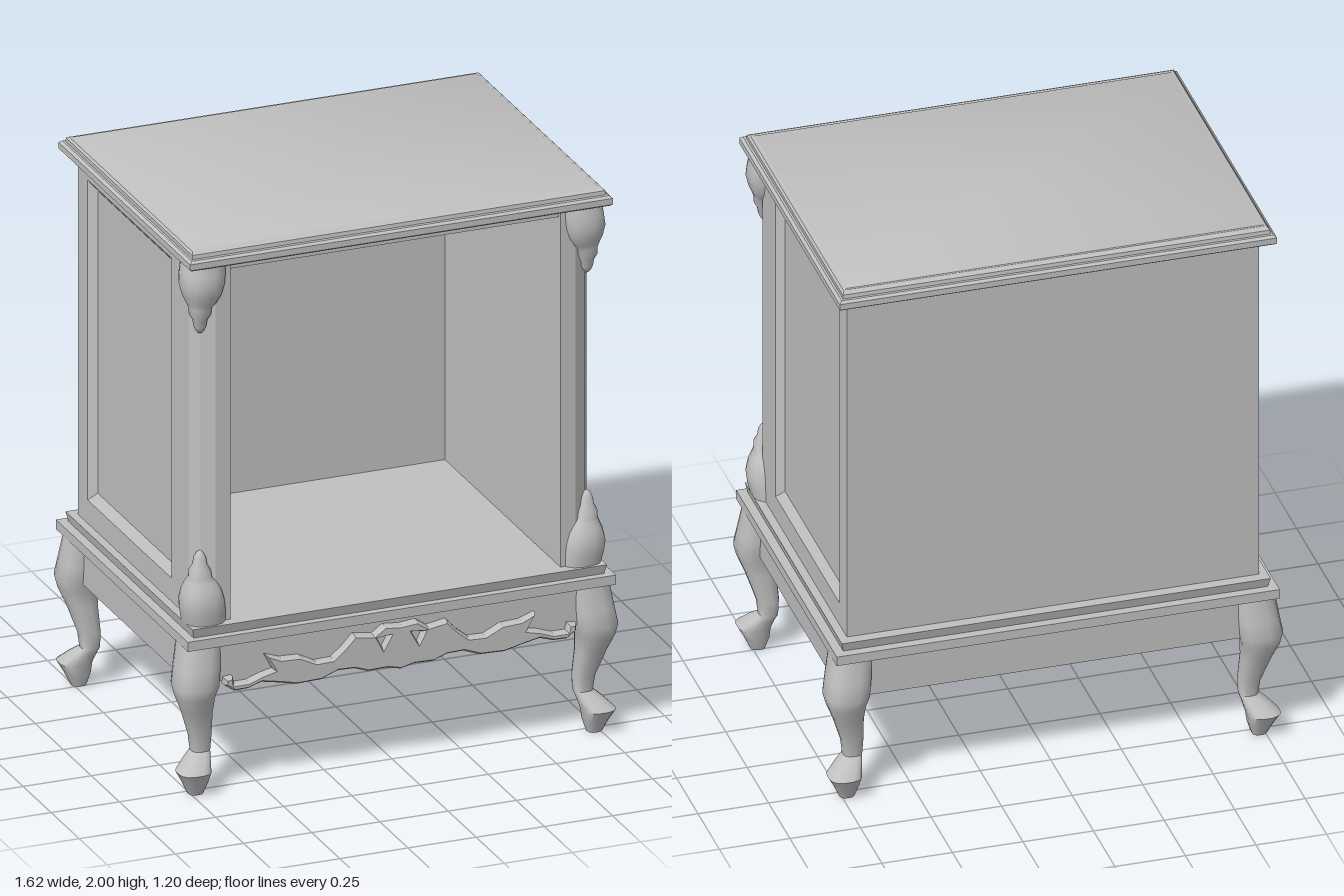
import * as THREE from 'three';
import { toCreasedNormals } from 'three/addons/utils/BufferGeometryUtils.js';

const V = (x, y, z) => new THREE.Vector3(x, y, z);

// Closed solid through rings of equal point count, capped at both ends and wound outward.
function loft(rings, crease = 0.6) {
  const n = rings[0].length, pts = rings.flat(), index = [];
  for (let r = 0; r < rings.length - 1; r++) {
    for (let i = 0; i < n; i++) {
      const a = r * n + i, b = r * n + (i + 1) % n;
      index.push(a, b, b + n, a, b + n, a + n);
    }
  }
  [0, rings.length - 1].forEach((r, end) => {
    const c = pts.length;
    pts.push(rings[r].reduce((s, p) => s.add(p), V(0, 0, 0)).divideScalar(n));
    for (let i = 0; i < n; i++) {
      const a = r * n + i, b = r * n + (i + 1) % n;
      index.push(...(end ? [a, b, c] : [b, a, c]));
    }
  });
  let volume = 0;
  for (let i = 0; i < index.length; i += 3) {
    volume += pts[index[i]].dot(pts[index[i + 1]].clone().cross(pts[index[i + 2]]));
  }
  if (volume < 0) index.reverse();
  const geo = new THREE.BufferGeometry().setFromPoints(pts);
  geo.setIndex(index);
  return toCreasedNormals(geo, crease);
}

// Horizontal rectangle ring for slabs: half width, front z, back z
const slabRing = ([y, x, zf, zb]) => [V(-x, y, zf), V(x, y, zf), V(x, y, zb), V(-x, y, zb)];

// Corner piece from [y, inner x, outer x] rows; the z range is the x range less dz.
function cornerLoft(rows, dz, sx, sz, power) {
  const sides = 16;
  return loft(rows.map(([y, a, b]) => {
    const c = (a + b) / 2, r = (b - a) / 2;
    return Array.from({ length: sides }, (_, i) => {
      const t = (i + 0.5) / sides * Math.PI * 2;
      const round = (v) => Math.sign(v) * Math.abs(v) ** power * r;
      return V(sx * (c + round(Math.cos(t))), y, sz * (c - dz + round(Math.sin(t))));
    });
  }), 0.8);
}

export function createModel() {
  const group = new THREE.Group();
  const grey = new THREE.MeshStandardMaterial({ color: 0xc0c0c0 });
  grey.name = 'plain grey';
  const add = (name, geo) => {
    const mesh = new THREE.Mesh(geo, grey);
    mesh.name = name;
    group.add(mesh);
    return mesh;
  };
  const box = (name, x0, x1, y0, y1, z0, z1) =>
    add(name, new THREE.BoxGeometry(x1 - x0, y1 - y0, z1 - z0))
      .position.set((x0 + x1) / 2, (y0 + y1) / 2, (z0 + z1) / 2);

  // Moulded table top
  add('top', loft([
    [1.94, 0.768, 0.578, -0.582], [1.946, 0.775, 0.585, -0.59], [1.968, 0.775, 0.585, -0.59],
    [1.976, 0.765, 0.575, -0.58], [1.976, 0.757, 0.562, -0.57], [1.99, 0.757, 0.56, -0.568],
    [1.997, 0.75, 0.545, -0.556], [1.997, 0.743, 0.535, -0.548], [2, 0.738, 0.53, -0.544],
  ].map(slabRing)));

  // Two-step plinth under the cabinet, also its floor
  add('baseMoulding', loft([
    [0.55, 0.785, 0.588, -0.588], [0.585, 0.785, 0.588, -0.588],
    [0.585, 0.752, 0.56, -0.555], [0.62, 0.76, 0.57, -0.565],
  ].map(slabRing)));

  // Open cabinet
  box('backPanel', -0.605, 0.605, 0.62, 1.94, -0.525, -0.5);
  box('ceiling', -0.605, 0.605, 1.9, 1.94, -0.5, 0.515);

  const legRows = [
    [0, 0.705, 0.757], [0.045, 0.69, 0.778], [0.085, 0.683, 0.8], [0.12, 0.675, 0.765],
    [0.145, 0.668, 0.735], [0.2, 0.665, 0.742], [0.3, 0.67, 0.775], [0.36, 0.667, 0.8],
    [0.4, 0.652, 0.81], [0.46, 0.645, 0.8], [0.55, 0.64, 0.785],
  ];
  const leafRows = [
    [0.62, 0.615, 0.762], [0.66, 0.617, 0.77], [0.7, 0.622, 0.774], [0.74, 0.634, 0.765],
    [0.77, 0.652, 0.752], [0.785, 0.668, 0.746], [0.81, 0.672, 0.745], [0.83, 0.684, 0.734],
    [0.855, 0.688, 0.73], [0.872, 0.697, 0.722], [0.88, 0.704, 0.714],
  ];
  const columnSection = [[0.605, 0.4], [0.605, 0.53], [0.66, 0.53], [0.705, 0.505], [0.73, 0.46], [0.73, 0.4]];

  for (const s of [1, -1]) {
    const side = s > 0 ? 'left' : 'right';

    // Side wall with a bevelled, sunken panel
    const wallRing = ([x, y0, y1, z0, z1]) =>
      [V(s * x, y0, z0), V(s * x, y1, z0), V(s * x, y1, z1), V(s * x, y0, z1)];
    add(side + 'Wall', loft([
      [0.605, 0.62, 1.94, -0.525, 0.4], [0.73, 0.62, 1.94, -0.525, 0.4],
      [0.73, 0.705, 1.88, -0.44, 0.31], [0.705, 0.738, 1.848, -0.41, 0.28],
    ].map(wallRing)));

    // Rounded front post with carved leaves at both ends
    add(side + 'Post', loft([0.62, 1.94].map((y) => columnSection.map(([x, z]) => V(s * x, y, z))), 0.3));
    add(side + 'LowerLeaf', cornerLoft(leafRows, 0.2, s, 1, 0.8));
    add(side + 'UpperLeaf', cornerLoft(leafRows.map(([y, a, b]) => [2.56 - y, a, b]), 0.2, s, 1, 0.8));

    // Curved legs and side apron
    add(side + 'FrontLeg', cornerLoft(legRows, 0.21, s, 1, 0.75));
    add(side + 'BackLeg', cornerLoft(legRows, 0.21, s, -1, 0.75));
    const xs = [s * 0.715, s * 0.745].sort((a, b) => a - b);
    box(side + 'Apron', xs[0], xs[1], 0.395, 0.55, -0.5, 0.5);
  }
  box('backApron', -0.7, 0.7, 0.395, 0.55, -0.55, -0.52);

  // Scalloped front apron, mirrored about the middle
  const lower = [[0, 0.36], [0.05, 0.372], [0.12, 0.37], [0.17, 0.388], [0.23, 0.39], [0.29, 0.367],
    [0.38, 0.364], [0.45, 0.38], [0.51, 0.392], [0.56, 0.376], [0.61, 0.375], [0.645, 0.4]];
  const upper = [[0.645, 0.425], [0.615, 0.428], [0.61, 0.402], [0.56, 0.402], [0.51, 0.42], [0.465, 0.43],
    [0.495, 0.488], [0.44, 0.468], [0.37, 0.465], [0.31, 0.435], [0.25, 0.437], [0.21, 0.47],
    [0.17, 0.512], [0.1, 0.5], [0.06, 0.528], [0, 0.522]];
  const symmetric = (half) => new THREE.Shape([
    ...half, ...half.filter(([x]) => x > 0).reverse().map(([x, y]) => [-x, y]),
  ].map(([x, y]) => new THREE.Vector2(x, y)));

  const plate = symmetric([...lower.map(([x, y]) => [x, y + 0.012]), [0.7, 0.4], [0.7, 0.55], [0, 0.55]]);
  add('frontApron', new THREE.ExtrudeGeometry(plate, { depth: 0.03, bevelEnabled: false })).position.z = 0.525;

  // Raised scroll carving with two pierced eyes
  const scroll = symmetric([...lower, ...upper]);
  for (const s of [1, -1]) {
    scroll.holes.push(new THREE.Path(
      [[0.04, 0.49], [0.085, 0.485], [0.065, 0.445]].map(([x, y]) => new THREE.Vector2(s * x, y))));
  }
  add('apronCarving', new THREE.ExtrudeGeometry(scroll, {
    depth: 0.025, bevelThickness: 0.012, bevelSize: 0.008, bevelOffset: -0.008, bevelSegments: 1,
  })).position.z = 0.548;

  return group;
}
